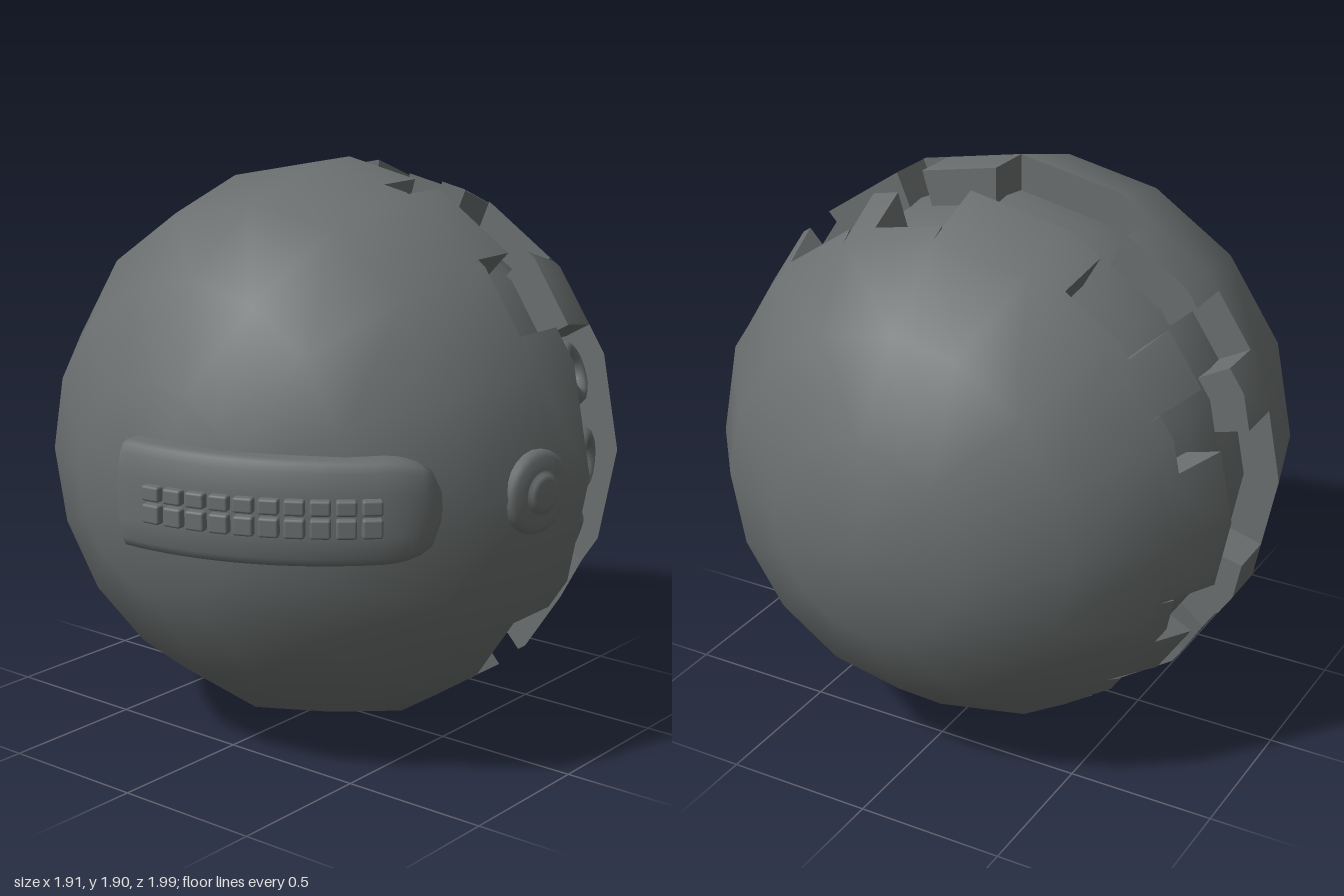
import * as THREE from 'three';
import { RoundedBoxGeometry } from 'three/addons/geometries/RoundedBoxGeometry.js';

const R = 0.955, CORE = 0.84, SIDES = 16;
const rad = THREE.MathUtils.degToRad;
const grey = new THREE.MeshStandardMaterial({ color: 0x6a6e6e });
grey.name = 'stone grey';

function add(parent, name, geometry) {
  const mesh = new THREE.Mesh(geometry, grey);
  mesh.name = name;
  parent.add(mesh);
  return mesh;
}

// Radius of the 16-sided section at angle a (degrees) and height z along the axis
function sectionRadius(a, z) {
  const step = 360 / SIDES;
  const off = ((a % step) + step) % step - step / 2;
  return Math.sqrt(R * R - z * z) * Math.cos(rad(step / 2)) / Math.cos(rad(off));
}

// A solid block of the outer shell between two angles and two z planes
function shellBlock(a0, a1, z0, z1) {
  const pos = [], nor = [];
  const out = (a, z) => {
    const r = sectionRadius(a, z);
    return new THREE.Vector3(r * Math.cos(rad(a)), r * Math.sin(rad(a)), z);
  };
  const inn = (a, z) => new THREE.Vector3(0.72 * Math.cos(rad(a)), 0.72 * Math.sin(rad(a)), z);
  const quad = (a, b, c, d, smooth) => {
    const n = b.clone().sub(a).cross(c.clone().sub(a)).normalize();
    for (const p of [a, b, c, a, c, d]) {
      pos.push(...p.toArray());
      nor.push(...(smooth ? p.clone().normalize() : n).toArray());
    }
  };
  const angles = [a0];
  for (let a = -360; a <= 360; a += 360 / SIDES) if (a > a0 + 0.01 && a < a1 - 0.01) angles.push(a);
  angles.push(a1);
  for (let i = 0; i < angles.length - 1; i++) {
    const a = angles[i], b = angles[i + 1];
    quad(out(a, z0), out(b, z0), out(b, z1), out(a, z1), true);
    quad(out(a, z1), out(b, z1), inn(b, z1), inn(a, z1));
    quad(inn(a, z0), inn(b, z0), out(b, z0), out(a, z0));
  }
  quad(out(a1, z0), inn(a1, z0), inn(a1, z1), out(a1, z1));
  quad(out(a0, z1), inn(a0, z1), inn(a0, z0), out(a0, z0));
  const g = new THREE.BufferGeometry();
  g.setAttribute('position', new THREE.Float32BufferAttribute(pos, 3));
  g.setAttribute('normal', new THREE.Float32BufferAttribute(nor, 3));
  return g;
}

// Domed cap with its pole on +z (side 1) or -z (side -1), closed by a flat rim
function addDome(parent, name, z, side, rows) {
  const g = new THREE.SphereGeometry(R, SIDES, rows, 0, Math.PI * 2, 0, Math.acos(Math.abs(z) / R));
  add(parent, name, g.rotateX(side * Math.PI / 2));
  const rim = new THREE.RingGeometry(0.7, Math.sqrt(R * R - z * z), SIDES);
  if (side > 0) rim.rotateX(Math.PI);
  add(parent, name + 'Rim', rim.translate(0, 0, z));
}

// Stand a lathe part (axis y) on the surface, pointing along dir
function standOn(mesh, dir, dist) {
  dir.normalize();
  mesh.quaternion.setFromUnitVectors(new THREE.Vector3(0, 1, 0), dir);
  mesh.position.copy(dir).multiplyScalar(dist);
}

const lathe = (points, n = 24) =>
  new THREE.LatheGeometry(points.map(([x, y]) => new THREE.Vector2(x, y)), n);

// Curved pad lofted around the y axis, square at one end and rounded at the other
function padGeometry() {
  const N = 28, start = -2, end = 58.5, pos = [], idx = [];
  const section = [[-1, 0.89], [-1, 0.965], [-0.95, 0.988], [-0.8, 1.004], [-0.4, 1.015],
    [0.4, 1.015], [0.8, 1.004], [0.95, 0.988], [1, 0.965], [1, 0.89]];
  const M = section.length;
  for (let i = 0; i <= N; i++) {
    const t = i / N, e = Math.max(0, (t - 0.82) / 0.18);
    const round = Math.sqrt(Math.max(0, 1 - e * e));
    const half = (0.172 - 0.012 * t) * (0.35 + 0.65 * round);
    const a = rad(start + (end - start) * t);
    for (const [s, r] of section) {
      const rr = 0.89 + (r - 0.89) * (0.5 + 0.5 * round);
      pos.push(rr * Math.sin(a), s * half, rr * Math.cos(a));
    }
  }
  for (let i = 0; i < N; i++) for (let j = 0; j < M - 1; j++) {
    const a = i * M + j, b = a + M;
    idx.push(a, b, b + 1, a, b + 1, a + 1);
  }
  // flat end walls, with their own corners
  for (const row of [0, N]) {
    const base = pos.length / 3;
    for (let j = 0; j < M * 3; j++) pos.push(pos[row * M * 3 + j]);
    for (let j = 1; j < M - 1; j++) {
      if (row === 0) idx.push(base, base + j, base + j + 1);
      else idx.push(base, base + j + 1, base + j);
    }
  }
  const g = new THREE.BufferGeometry();
  g.setAttribute('position', new THREE.Float32BufferAttribute(pos, 3));
  g.setIndex(idx);
  g.computeVertexNormals();
  return g;
}

export function createModel() {
  const model = new THREE.Group();
  model.name = 'model';
  const ball = new THREE.Group();
  ball.name = 'ball';
  ball.position.set(0, 0.955, -0.045);
  model.add(ball);

  // Inner core seen in the trench
  add(ball, 'core', new THREE.SphereGeometry(CORE, SIDES, 12).rotateX(Math.PI / 2));

  // Two domes
  const frontZ = 0.095, backZ = -0.46, ledgeZ = -0.405;
  addDome(ball, 'frontDome', frontZ, 1, 4);
  addDome(ball, 'backDome', backZ, -1, 3);

  // Interlocking battlements, mirrored above and below
  const cuts = [30, 47, 67, 73, 90, 120, 139, 152, 165, 180];
  add(ball, 'frontSideWall', shellBlock(-30, 30, -0.11, frontZ));
  for (let i = 0; i < cuts.length - 1; i++) {
    const backTooth = i % 2 === 0;
    const top = backTooth ? (i === 0 ? -0.2 : -0.23) : ledgeZ;
    for (const [a, b] of [[cuts[i], cuts[i + 1]], [-cuts[i + 1], -cuts[i]]]) {
      add(ball, backTooth ? 'backBattlement' : 'backLedge', shellBlock(a, b, backZ, top));
      if (!backTooth) add(ball, 'frontBattlement', shellBlock(a, b, -0.07, frontZ));
    }
  }

  // Three ring nozzles in the side recess
  const ringProfile = [[0.1, -0.1], [0.11, -0.01], [0.108, 0.012], [0.098, 0.031], [0.08, 0.04],
    [0.062, 0.033], [0.05, 0.015], [0.046, -0.01], [0.04, -0.025], [0, -0.025]];
  for (const a of [-20.5, 0, 20.5]) {
    const ring = add(ball, 'ringNozzle', lathe(ringProfile));
    standOn(ring, new THREE.Vector3(Math.cos(rad(a)), Math.sin(rad(a)), -0.35), 0.845);
  }

  // Round button on the side
  const button = add(ball, 'sideButton', lathe([[0.125, -0.06], [0.137, -0.01], [0.132, 0.008],
    [0.115, 0.02], [0.075, 0.026], [0.066, 0.024], [0.06, 0.036], [0.045, 0.041], [0, 0.042]]));
  standOn(button, new THREE.Vector3(1, 0, 0.155), 0.928);

  // Front pad with two rows of small keys
  const pad = new THREE.Group();
  pad.name = 'frontPad';
  pad.position.y = 0.01;
  ball.add(pad);
  add(pad, 'padBody', padGeometry());
  for (const [y, h] of [[0.034, 0.048], [-0.03, 0.06]]) {
    for (let i = 0; i < 10; i++) {
      const a = rad(6.3 + i * 4.3);
      const key = add(pad, 'key', new RoundedBoxGeometry(0.062, h, 0.05, 2, 0.008));
      key.position.set(1.016 * Math.sin(a), y, 1.016 * Math.cos(a));
      key.rotation.y = a;
    }
  }
  return model;
}
